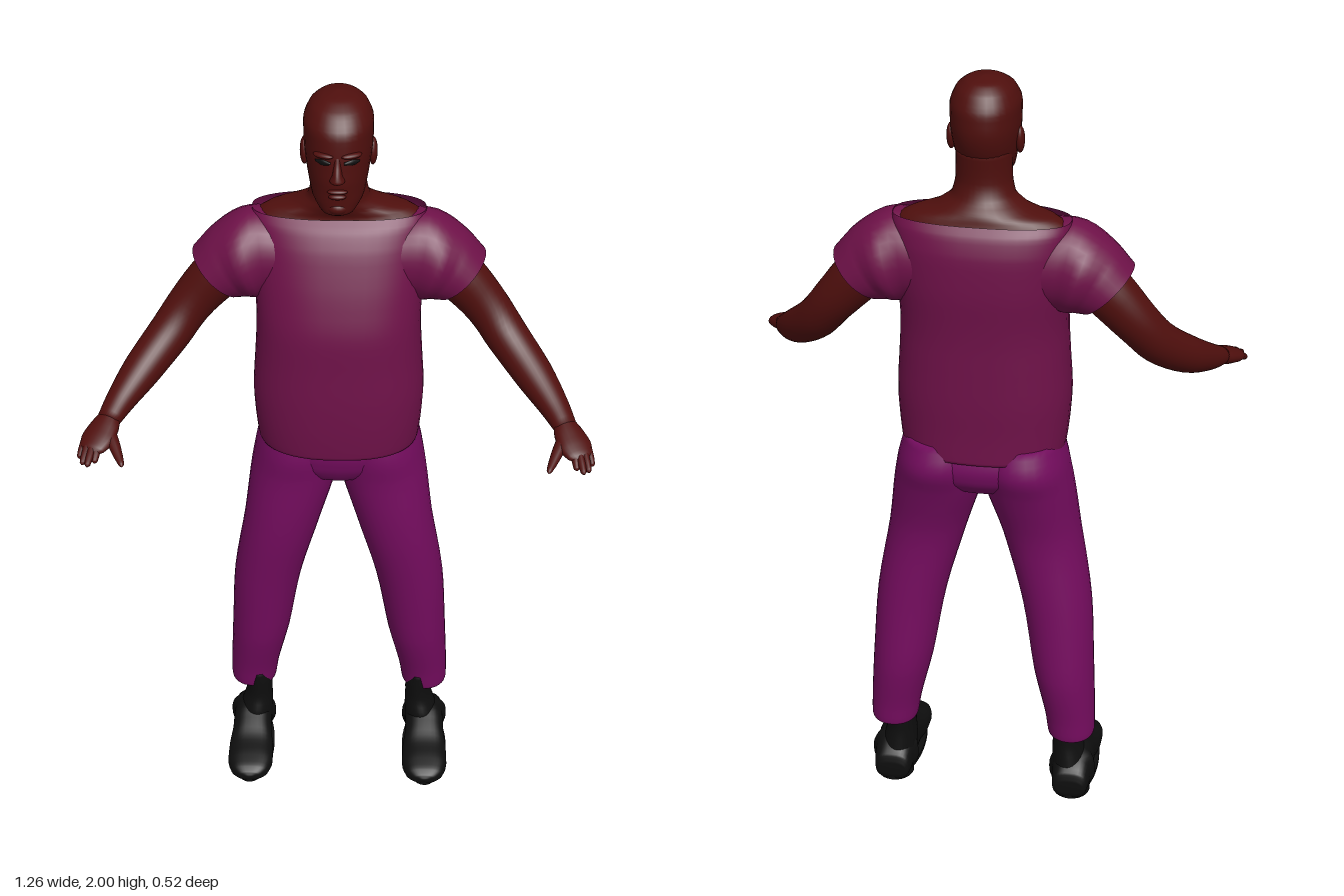
import * as THREE from 'three';

const mat = (name, color, side = THREE.FrontSide) => {
  const m = new THREE.MeshStandardMaterial({ color, side });
  m.name = name;
  return m;
};
const V = (x, y, z) => new THREE.Vector3(x, y, z);

// Smooth skin over rings; each ring is { c: centre, a, b: half-axis vectors }.
function loft(rings, { seg = 32, sub = 4, n = 2, caps = true } = {}) {
  const curve = key => new THREE.CatmullRomCurve3(rings.map(r => r[key]));
  const [C, A, B] = ['c', 'a', 'b'].map(curve);
  const rows = (rings.length - 1) * sub, pos = [], idx = [];
  const pw = v => Math.sign(v) * Math.pow(Math.abs(v), 2 / n);
  for (let i = 0; i <= rows; i++) {
    const t = i / rows, c = C.getPoint(t), a = A.getPoint(t), b = B.getPoint(t);
    for (let j = 0; j < seg; j++) {
      const w = j / seg * Math.PI * 2;
      const p = c.clone().addScaledVector(a, pw(Math.cos(w))).addScaledVector(b, pw(Math.sin(w)));
      pos.push(p.x, p.y, p.z);
    }
  }
  const mid = Math.floor(rings.length / 2);
  const flip = rings[mid].a.clone().cross(rings[mid].b)
    .dot(rings[mid].c.clone().sub(rings[mid - 1].c)) < 0;
  const tri = (p, q, r) => flip ? idx.push(p, r, q) : idx.push(p, q, r);
  for (let i = 0; i < rows; i++) for (let j = 0; j < seg; j++) {
    const k = (j + 1) % seg, p = i * seg, q = p + seg;
    tri(p + j, p + k, q + k);
    tri(p + j, q + k, q + j);
  }
  if (caps) {
    [rings[0].c, rings[rings.length - 1].c].forEach(c => pos.push(c.x, c.y, c.z));
    const s = (rows + 1) * seg, e = rows * seg;
    for (let j = 0; j < seg; j++) {
      const k = (j + 1) % seg;
      tri(s, k, j);
      tri(s + 1, e + j, e + k);
    }
  }
  const g = new THREE.BufferGeometry();
  g.setAttribute('position', new THREE.Float32BufferAttribute(pos, 3));
  g.setIndex(idx);
  g.computeVertexNormals();
  return g;
}

// Level rings from rows of [y, x, z, halfWidth, halfDepth].
const level = (rows, s = 1) => rows.map(([y, x, z, rx, rz]) =>
  ({ c: V(x * s, y, z), a: V(rx, 0, 0), b: V(0, 0, rz) }));

// Rings across a limb from rows of [x, y, z, halfWidth, halfThickness].
function limb(rows, s = 1) {
  const pts = rows.map(r => V(r[0] * s, r[1], r[2]));
  return rows.map((r, i) => {
    const t = pts[Math.min(i + 1, pts.length - 1)].clone().sub(pts[Math.max(i - 1, 0)]).normalize();
    const b = t.clone().cross(V(0, 1, 0)).normalize();
    const a = b.clone().cross(t);
    return { c: pts[i], a: a.multiplyScalar(r[4]), b: b.multiplyScalar(r[3]) };
  });
}

export function createModel() {
  const skin = mat('skin', 0x4f0f0d);
  const shirt = mat('shirt fabric', 0x6e1148, THREE.DoubleSide);
  const pants = mat('trouser fabric', 0x740c5e);
  const black = mat('black leather', 0x0e0e0e);
  const model = new THREE.Group();
  model.name = 'standingFigure';
  const add = (name, geo, m) => {
    const mesh = new THREE.Mesh(geo, m);
    mesh.name = name;
    model.add(mesh);
    return mesh;
  };
  const ball = (name, m, p, r) => {
    const mesh = add(name, new THREE.SphereGeometry(1, 20, 14), m);
    mesh.position.set(...p);
    mesh.scale.set(...r);
    return mesh;
  };

  // Head, neck and shoulders
  add('head', loft(level([
    [1.722, 0, 0.0, 0.012, 0.012], [1.732, 0, -0.008, 0.038, 0.036],
    [1.765, 0, -0.04, 0.062, 0.073], [1.82, 0, -0.067, 0.074, 0.106],
    [1.88, 0, -0.078, 0.082, 0.115], [1.93, 0, -0.08, 0.083, 0.111],
    [1.97, 0, -0.085, 0.068, 0.085], [1.99, 0, -0.09, 0.043, 0.053],
    [1.999, 0, -0.092, 0.006, 0.007]]), { n: 2.15 }), skin);
  add('neck', loft(level([
    [1.58, 0, -0.135, 0.18, 0.08], [1.655, 0, -0.138, 0.203, 0.08],
    [1.678, 0, -0.137, 0.175, 0.075], [1.695, 0, -0.13, 0.115, 0.076],
    [1.72, 0, -0.115, 0.076, 0.07], [1.76, 0, -0.108, 0.067, 0.064],
    [1.84, 0, -0.11, 0.066, 0.068]])), skin);

  // Face
  add('nose', loft(level([
    [1.818, 0, 0.03, 0.012, 0.01], [1.826, 0, 0.038, 0.018, 0.022],
    [1.84, 0, 0.038, 0.012, 0.019], [1.865, 0, 0.034, 0.008, 0.009],
    [1.89, 0, 0.03, 0.006, 0.004]]), { seg: 16 }), skin);
  ball('upperLip', skin, [0, 1.797, 0.036], [0.024, 0.006, 0.01]);
  ball('lowerLip', skin, [0, 1.783, 0.033], [0.021, 0.007, 0.011]);
  ball('chin', skin, [0, 1.747, 0.014], [0.026, 0.018, 0.022]);

  // Shirt body, with a turned-in hem and an open neckline
  add('shirtBody', loft(level([
    [1.065, 0, -0.1, 0.185, 0.135], [1.055, 0, -0.1, 0.202, 0.154],
    [1.12, 0, -0.097, 0.211, 0.156], [1.2, 0, -0.097, 0.215, 0.157],
    [1.3, 0, -0.098, 0.209, 0.154], [1.4, 0, -0.1, 0.204, 0.151],
    [1.5, 0, -0.115, 0.208, 0.141], [1.6, 0, -0.13, 0.212, 0.121],
    [1.65, 0, -0.136, 0.214, 0.1], [1.673, 0, -0.139, 0.212, 0.08]]),
    { n: 2.4, seg: 48, caps: false }), shirt);

  // Pelvis
  add('trouserSeat', loft(level([
    [1.09, 0, -0.11, 0.185, 0.125], [1.03, 0, -0.115, 0.205, 0.135],
    [0.99, 0, -0.115, 0.19, 0.128], [0.95, 0, -0.11, 0.12, 0.1],
    [0.93, 0, -0.11, 0.03, 0.05]]), { n: 2.2 }), pants);

  for (const s of [1, -1]) {
    const side = s > 0 ? 'left' : 'right';

    add(side + 'Eye', loft([0.052, 0.035, 0.016].map((x, i) => ({
      c: V(x * s, 1.869, [0.016, 0.029, 0.036][i]),
      a: V(0, [0.002, 0.007, 0.003][i], 0), b: V(0, 0, 0.004) })), { seg: 12 }), black);
    ball(side + 'Brow', skin, [0.033 * s, 1.885, 0.025], [0.026, 0.007, 0.012]).rotation.y = s * 0.45;
    ball(side + 'Ear', skin, [0.081 * s, 1.845, -0.088], [0.011, 0.034, 0.02]).rotation.x = -0.15;

    // Short sleeve flaring to an open cuff
    const sleeve = [[0.13, 1.555, 0, 0.105, 0.098], [0.2, 1.555, 0.02, 0.114, 0.1],
      [0.26, 1.53, 0.045, 0.09, 0.1], [0.3, 1.5, 0.06, 0.058, 0.096]];
    add(side + 'Sleeve', loft(sleeve.map(([x, y, ax, ay, r]) =>
      ({ c: V(x * s, y, -0.126), a: V(ax * s, ay, 0), b: V(0, 0, r) })), { caps: false }), shirt);

    // Arm and hand
    add(side + 'Arm', loft(limb([
      [0.2, 1.585, -0.125, 0.065, 0.065], [0.3, 1.49, -0.125, 0.062, 0.064],
      [0.37, 1.41, -0.115, 0.056, 0.056], [0.42, 1.345, -0.083, 0.054, 0.053],
      [0.485, 1.28, -0.01, 0.049, 0.047], [0.535, 1.235, 0.07, 0.037, 0.034],
      [0.56, 1.212, 0.125, 0.029, 0.024]], s)), skin);
    add(side + 'Palm', loft(limb([
      [0.555, 1.217, 0.11, 0.026, 0.022], [0.566, 1.205, 0.14, 0.037, 0.022],
      [0.58, 1.192, 0.175, 0.042, 0.02], [0.592, 1.182, 0.205, 0.033, 0.014],
      [0.597, 1.178, 0.215, 0.018, 0.007]], s), { seg: 20 }), skin);
    const fingers = [[0.578, 0.2, 0.583, 0.24], [0.59, 0.2, 0.599, 0.256],
      [0.602, 0.195, 0.612, 0.247], [0.612, 0.18, 0.622, 0.22]];
    fingers.forEach(([x0, z0, x1, z1], i) => {
      const at = (t, r) => [x0 + (x1 - x0) * t, 1.187 - 0.024 * t, z0 + (z1 - z0) * t, r, r];
      add(side + 'Finger' + (i + 1), loft(limb(
        [at(0, 0.01), at(0.5, 0.0095), at(0.9, 0.007), at(1, 0.002)], s), { seg: 12 }), skin);
    });
    add(side + 'Thumb', loft(limb([
      [0.558, 1.2, 0.15, 0.018, 0.016], [0.54, 1.187, 0.19, 0.015, 0.013],
      [0.525, 1.174, 0.226, 0.011, 0.01], [0.516, 1.167, 0.249, 0.007, 0.007],
      [0.514, 1.165, 0.256, 0.002, 0.002]], s), { seg: 14 }), skin);

    // Trouser leg with a turned-in hem
    add(side + 'TrouserLeg', loft(level([
      [1.09, 0.1, -0.115, 0.095, 0.125], [1.02, 0.106, -0.12, 0.108, 0.14],
      [0.95, 0.114, -0.112, 0.113, 0.126], [0.8, 0.146, -0.095, 0.101, 0.107],
      [0.6, 0.19, -0.11, 0.09, 0.101], [0.4, 0.214, -0.13, 0.079, 0.098],
      [0.26, 0.234, -0.14, 0.066, 0.075], [0.2, 0.239, -0.143, 0.061, 0.068],
      [0.215, 0.237, -0.14, 0.045, 0.05]], s), { n: 2.1 }), pants);

    // Boot shaft and foot
    add(side + 'BootShaft', loft(level([
      [0.05, 0.238, -0.125, 0.05, 0.07], [0.11, 0.231, -0.12, 0.044, 0.062],
      [0.16, 0.224, -0.123, 0.036, 0.052], [0.21, 0.222, -0.121, 0.034, 0.053],
      [0.245, 0.222, -0.118, 0.022, 0.052]], s)), black);
    const foot = [[-0.203, 0.035, 0.02, 0.06], [-0.195, 0.046, 0.003, 0.085],
      [-0.15, 0.053, 0, 0.115], [-0.1, 0.053, 0.006, 0.125], [-0.05, 0.054, 0.008, 0.105],
      [0.0, 0.061, 0.002, 0.08], [0.05, 0.062, 0.002, 0.068], [0.09, 0.05, 0.006, 0.055],
      [0.108, 0.03, 0.014, 0.043], [0.114, 0.008, 0.025, 0.033]];
    add(side + 'Shoe', loft(foot.map(([z, w, lo, hi]) => ({
      c: V(0.243 * s, (lo + hi) / 2, z), a: V(w, 0, 0), b: V(0, (hi - lo) / 2, 0) })),
      { n: 2.7 }), black);
    // Sole welt with a raised heel
    const sole = new THREE.Shape();
    sole.absellipse(0, -0.045, 0.062, 0.155, 0, Math.PI * 2);
    const welt = add(side + 'Sole', new THREE.ExtrudeGeometry(sole,
      { depth: 0.012, bevelEnabled: false, curveSegments: 24 }), black);
    welt.rotation.x = Math.PI / 2;
    welt.position.set(0.243 * s, 0.02, 0);
    const heel = add(side + 'Heel', new THREE.CylinderGeometry(0.05, 0.05, 0.02, 24), black);
    heel.position.set(0.243 * s, 0.01, -0.148);
  }
  return model;
}
